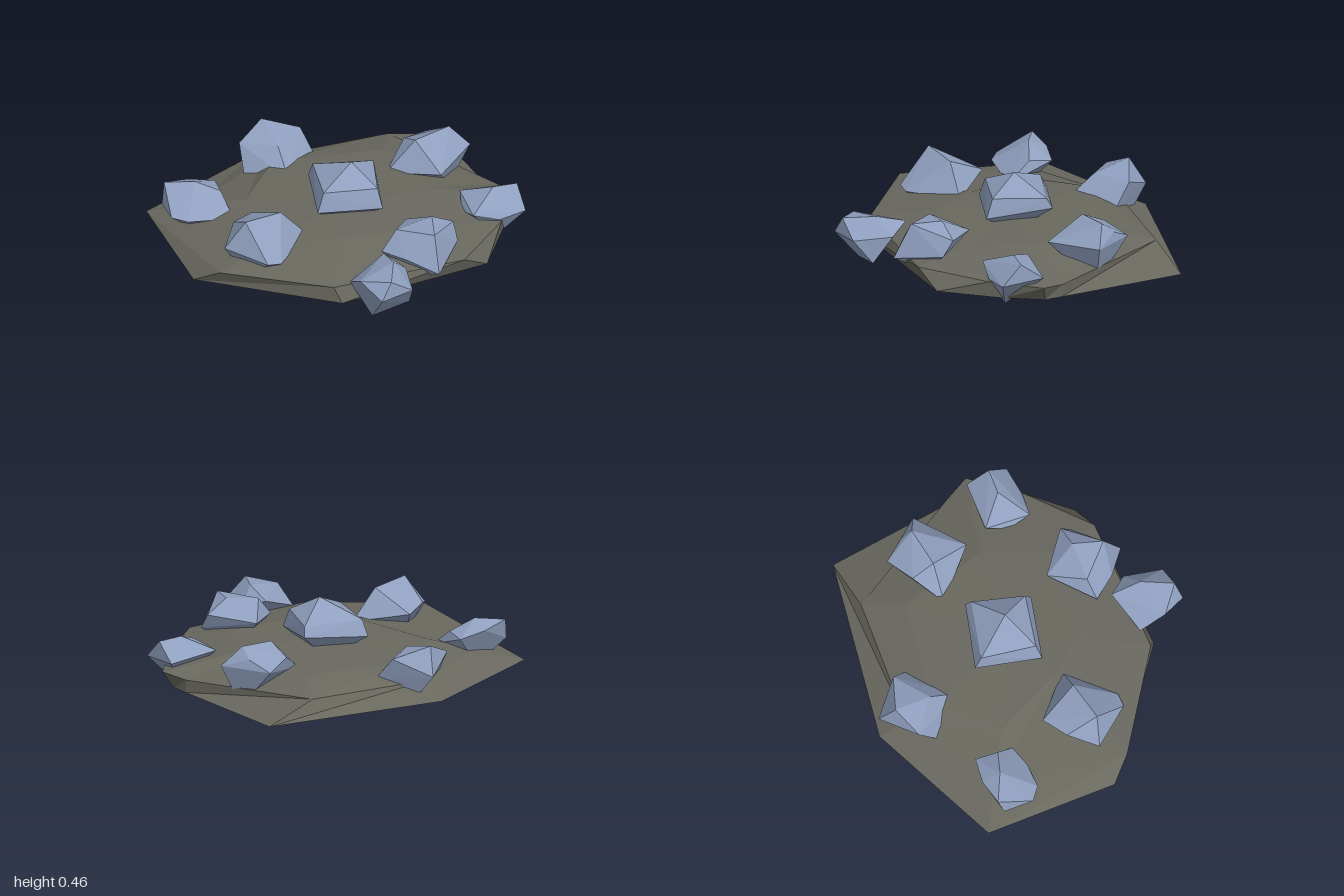
import * as THREE from 'three';
import { ConvexGeometry } from 'three/addons/geometries/ConvexGeometry.js';

const slabStone = new THREE.MeshStandardMaterial({ name: 'slabStone', color: 0x69685f, flatShading: true });
const blueStone = new THREE.MeshStandardMaterial({ name: 'blueStone', color: 0x8f9fbe, flatShading: true });

// Lofted slab: foot, rim and plateau loops, closed above and below
function makeSlab() {
  const foot = 0.055;
  const v = (x, y, z) => new THREE.Vector3(x, y, z);
  const rows = [
    [v(-1, foot, -0.51), v(-0.75, 0.122, -0.4), v(-0.49, 0.19, -0.28)],
    [v(-0.28, foot, -0.92), v(-0.265, 0.13, -0.76), v(-0.25, 0.2, -0.6)],
    [v(0.76, foot, -0.87), v(0.46, 0.147, -0.8), v(0.37, 0.2, -0.57)],
    [v(0.92, foot, -0.15), v(0.92, 0.13, -0.16), v(0.53, 0.212, -0.1)],
    [v(0.94, foot, -0.05), v(1, 0.15, -0.03), v(0.53, 0.215, -0.07)],
    [v(0.86, foot, 0.17), v(0.83, 0.147, 0.24), v(0.44, 0.2, 0.27)],
    [v(0.68, foot, 0.5), v(0.53, 0.147, 0.57), v(0.43, 0.2, 0.29)],
    [v(-0.2, foot, 0.69), v(-0.24, 0.147, 0.66), v(-0.1, 0.215, 0.28)],
    [v(-0.93, foot, 0.24), v(-0.81, 0.147, 0.35), v(-0.27, 0.22, 0.1)],
  ];
  const top = v(0, 0.225, -0.08);
  const bottom = v(0, foot, 0);
  const points = [];
  rows.forEach((a, i) => {
    const b = rows[(i + 1) % rows.length];
    for (let k = 0; k < 2; k++) {
      points.push(a[k], a[k + 1], b[k], b[k], a[k + 1], b[k + 1]);
    }
    points.push(top, b[2], a[2], bottom, a[0], b[0]);
  });
  const geometry = new THREE.BufferGeometry().setFromPoints(points);
  geometry.computeVertexNormals();
  const slab = new THREE.Mesh(geometry, slabStone);
  slab.name = 'slab';
  return slab;
}

// Faceted boulder: crown corners, girdle corners and a pointed foot
function makeBoulder(name, crown, girdle, foot) {
  const points = [...crown, ...girdle, foot].map(p => new THREE.Vector3(...p));
  const mesh = new THREE.Mesh(new ConvexGeometry(points), blueStone);
  mesh.name = name;
  return mesh;
}

export function createModel() {
  const model = new THREE.Group();
  model.name = 'rockPlatform';
  model.add(makeSlab());

  // Tall boulder in the middle
  model.add(makeBoulder('centreBoulder',
    [[0.06, 0.46, -0.09], [-0.11, 0.36, -0.28], [0.225, 0.355, -0.235], [0.17, 0.36, 0.06], [-0.13, 0.36, 0.03]],
    [[-0.125, 0.27, -0.32], [0.24, 0.3, -0.265], [0.19, 0.25, 0.1], [-0.17, 0.25, 0.055]],
    [0.03, 0.1, -0.1]));

  // Boulders around the edge
  model.add(makeBoulder('backBoulder',
    [[-0.26, 0.35, -0.82], [-0.05, 0.29, -0.77], [-0.41, 0.27, -0.73], [-0.22, 0.29, -0.61]],
    [[-0.23, 0.2, -0.91], [-0.41, 0.13, -0.63], [0.01, 0.15, -0.67], [-0.2, 0.16, -0.45]],
    [-0.16, 0.02, -0.78]));
  model.add(makeBoulder('backLeftBoulder',
    [[0.71, 0.38, -0.43], [0.5, 0.36, -0.37], [0.47, 0.3, -0.5], [0.7, 0.32, -0.5]],
    [[0.62, 0.26, -0.6], [0.82, 0.27, -0.39], [0.59, 0.25, -0.15], [0.33, 0.18, -0.36]],
    [0.7, 0.02, -0.4]));
  model.add(makeBoulder('backRightBoulder',
    [[-0.92, 0.28, -0.43], [-0.76, 0.295, -0.37], [-0.77, 0.25, -0.475], [-0.62, 0.22, -0.47], [-0.62, 0.23, -0.34]],
    [[-0.58, 0.12, -0.21], [-0.85, 0.16, -0.18], [-0.93, 0.17, -0.23], [-0.94, 0.16, -0.4]],
    [-0.78, 0.01, -0.35]));
  model.add(makeBoulder('rightBoulder',
    [[-0.63, 0.375, 0.23], [-0.41, 0.36, 0.16], [-0.65, 0.27, 0.05]],
    [[-0.52, 0.25, -0.05], [-0.26, 0.19, 0.14], [-0.47, 0.18, 0.4], [-0.55, 0.19, 0.41], [-0.745, 0.21, 0.21]],
    [-0.62, 0.02, 0.22]));
  model.add(makeBoulder('frontLeftBoulder',
    [[0.39, 0.35, 0.4], [0.36, 0.335, 0.57], [0.18, 0.31, 0.42], [0.52, 0.28, 0.37]],
    [[0.29, 0.24, 0.22], [0.53, 0.19, 0.43], [0.36, 0.14, 0.67], [0.2, 0.2, 0.57], [0.09, 0.2, 0.45]],
    [0.28, 0.02, 0.47]));
  model.add(makeBoulder('frontBoulder',
    [[0.03, 0.27, 0.88], [0.09, 0.285, 0.7], [-0.12, 0.24, 0.78], [0.08, 0.24, 0.53]],
    [[0.18, 0.19, 0.63], [0.16, 0.18, 0.85], [-0.03, 0.17, 0.91], [-0.14, 0.15, 0.63], [0.17, 0.04, 0.74]],
    [-0.05, 0, 0.77]));
  model.add(makeBoulder('leftBoulder',
    [[0.96, 0.285, 0.09], [0.82, 0.29, 0.1], [0.66, 0.22, -0.02], [0.95, 0.19, -0.04], [0.67, 0.21, 0.24]],
    [[0.98, 0.17, 0.2], [0.82, 0.16, 0.24], [0.64, 0.17, 0.11]],
    [0.83, 0.01, 0.15]));

  return model;
}
